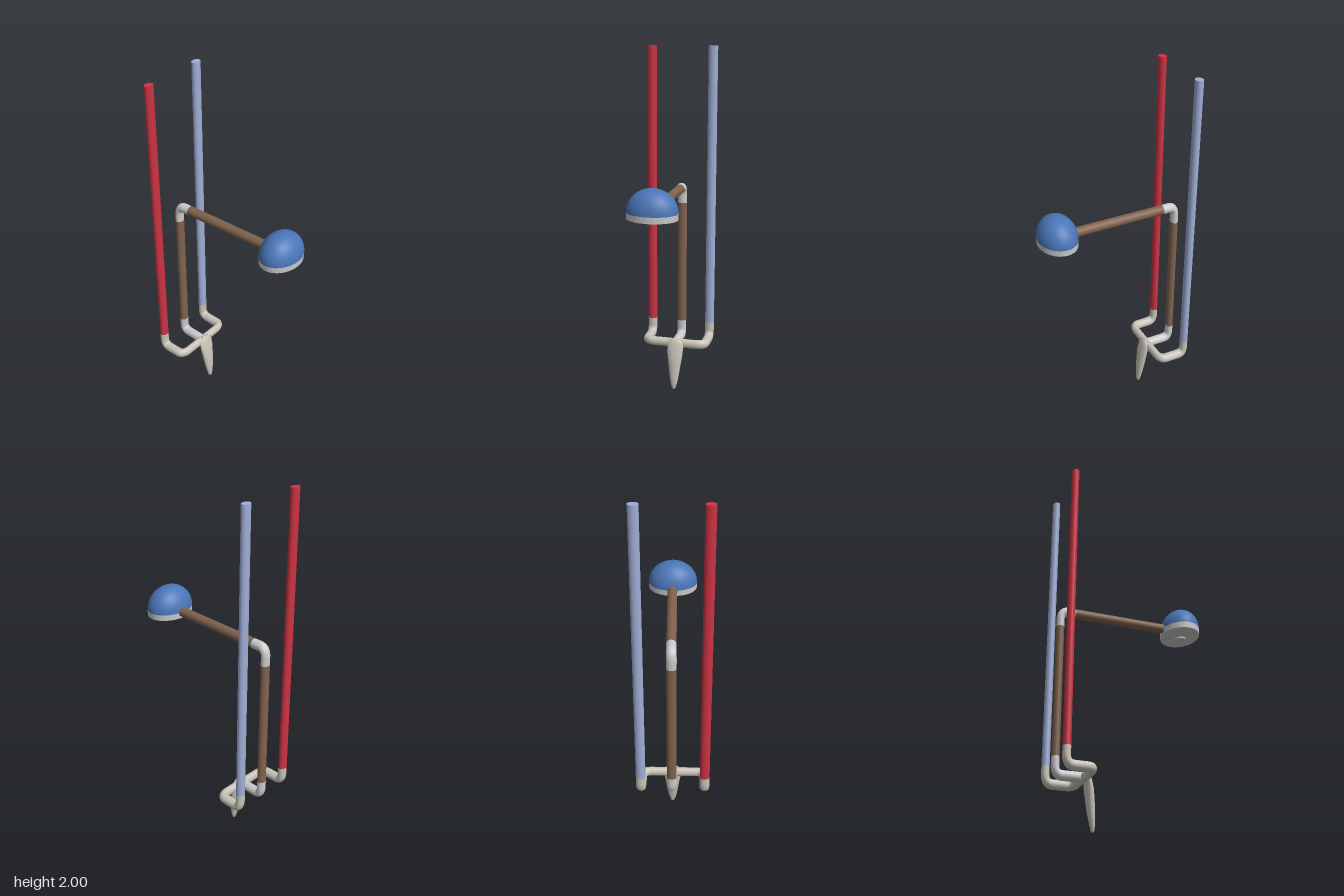
import * as THREE from 'three';

const SQUASH = 0.78;   // everything round is slightly narrower along x
const R = 0.027;       // pipe radius
const V = (x, y, z) => new THREE.Vector3(x / SQUASH, y, z);

export function createModel() {
  const model = new THREE.Group();
  model.name = 'plumbingFrame';
  model.scale.x = SQUASH;

  const mat = (color) => new THREE.MeshStandardMaterial({ color });
  const grey = mat(0xcccccc), stone = mat(0xc8c4b8), brown = mat(0x80624e);
  const red = mat(0xcc3344), paleBlue = mat(0xa0aed6), blue = mat(0x4a76b8);

  const add = (name, geometry, material) => {
    const mesh = new THREE.Mesh(geometry, material);
    mesh.name = name;
    model.add(mesh);
    return mesh;
  };

  // straight closed rod between two points
  const rod = (name, a, b, material) => {
    const mesh = add(name, new THREE.CylinderGeometry(R, R, a.distanceTo(b), 20), material);
    mesh.position.copy(a).lerp(b, 0.5);
    mesh.quaternion.setFromUnitVectors(new THREE.Vector3(0, 1, 0), b.clone().sub(a).normalize());
  };

  // pipe through points, with every inner corner rounded
  const pipe = (name, pts, bend, material) => {
    const path = new THREE.CurvePath();
    let start = pts[0];
    for (let i = 1; i < pts.length - 1; i++) {
      const p = pts[i];
      const toward = (q) => p.clone().add(q.clone().sub(p).setLength(bend));
      const a = toward(pts[i - 1]), b = toward(pts[i + 1]);
      path.add(new THREE.LineCurve3(start, a));
      path.add(new THREE.QuadraticBezierCurve3(a, p, b));
      start = b;
    }
    path.add(new THREE.LineCurve3(start, pts[pts.length - 1]));
    add(name, new THREE.TubeGeometry(path, 32 * (pts.length - 2), R, 20), material);
  };

  // tall posts
  rod('redPost', V(-0.393, 0.37, 0.175), V(-0.393, 2, 0.175), red);
  rod('paleBluePost', V(-0.405, 0.37, -0.177), V(-0.405, 2, -0.177), paleBlue);

  // U-shaped base pipe joining the two posts
  pipe('basePipe', [
    V(-0.393, 0.37, 0.175), V(-0.393, 0.276, 0.175), V(-0.247, 0.276, 0.172),
    V(-0.253, 0.276, -0.177), V(-0.405, 0.276, -0.177), V(-0.405, 0.37, -0.177),
  ], 0.052, stone);

  // middle post, its elbows and the arm
  pipe('lowerElbow', [V(-0.4, 0.37, -0.006), V(-0.4, 0.276, -0.006), V(-0.25, 0.276, -0.006)], 0.05, grey);
  rod('middlePost', V(-0.4, 0.37, -0.006), V(-0.4, 1.1, -0.006), brown);
  pipe('upperElbow', [V(-0.4, 1.1, -0.006), V(-0.4, 1.195, -0.006), V(-0.32, 1.196, -0.01)], 0.05, grey);
  rod('arm', V(-0.32, 1.196, -0.01), V(0.24, 1.203, -0.028), brown);

  // domed head: cap, rim, shallow underside and a small disc
  const head = new THREE.Group();
  head.name = 'head';
  head.position.copy(V(0.309, 1.202, -0.028));
  model.add(head);
  const headPart = (name, geometry, y, material) => {
    const mesh = add(name, geometry, material);
    mesh.position.y = y;
    head.add(mesh);
  };
  const dome = new THREE.SphereGeometry(0.137, 32, 12, 0, Math.PI * 2, 0, Math.PI / 2);
  dome.scale(1, 0.92, 1);
  headPart('dome', dome, 0, blue);
  headPart('rim', new THREE.CylinderGeometry(0.137, 0.135, 0.034, 32), -0.017, grey);
  headPart('underside', new THREE.CylinderGeometry(0.135, 0.045, 0.013, 32), -0.0405, grey);
  headPart('bottomDisc', new THREE.CylinderGeometry(0.04, 0.04, 0.008, 24), -0.051, grey);

  // tapering foot: elliptical sections [x, y, half thickness, half width]
  const sections = [
    [-0.235, 0.308, 0.002, 0.005], [-0.234, 0.302, 0.011, 0.032], [-0.229, 0.275, 0.016, 0.049],
    [-0.219, 0.22, 0.022, 0.047], [-0.211, 0.15, 0.022, 0.037], [-0.204, 0.09, 0.019, 0.029],
    [-0.198, 0.04, 0.014, 0.02], [-0.196, 0.01, 0.009, 0.011], [-0.196, 0, 0.001, 0.002],
  ];
  const N = 20, pos = [], index = [];
  sections.forEach(([x, y, t, w], i) => {
    for (let j = 0; j < N; j++) {
      const a = (j / N) * Math.PI * 2;
      pos.push((x + t * Math.cos(a)) / SQUASH, y, -0.01 + w * Math.sin(a));
      if (i === 0) continue;
      const k = (j + 1) % N, up = (i - 1) * N, lo = i * N;
      index.push(up + j, up + k, lo + j, up + k, lo + k, lo + j);
    }
  });
  const foot = new THREE.BufferGeometry();
  foot.setAttribute('position', new THREE.Float32BufferAttribute(pos, 3));
  foot.setIndex(index);
  foot.computeVertexNormals();
  add('foot', foot, stone);

  return model;
}
